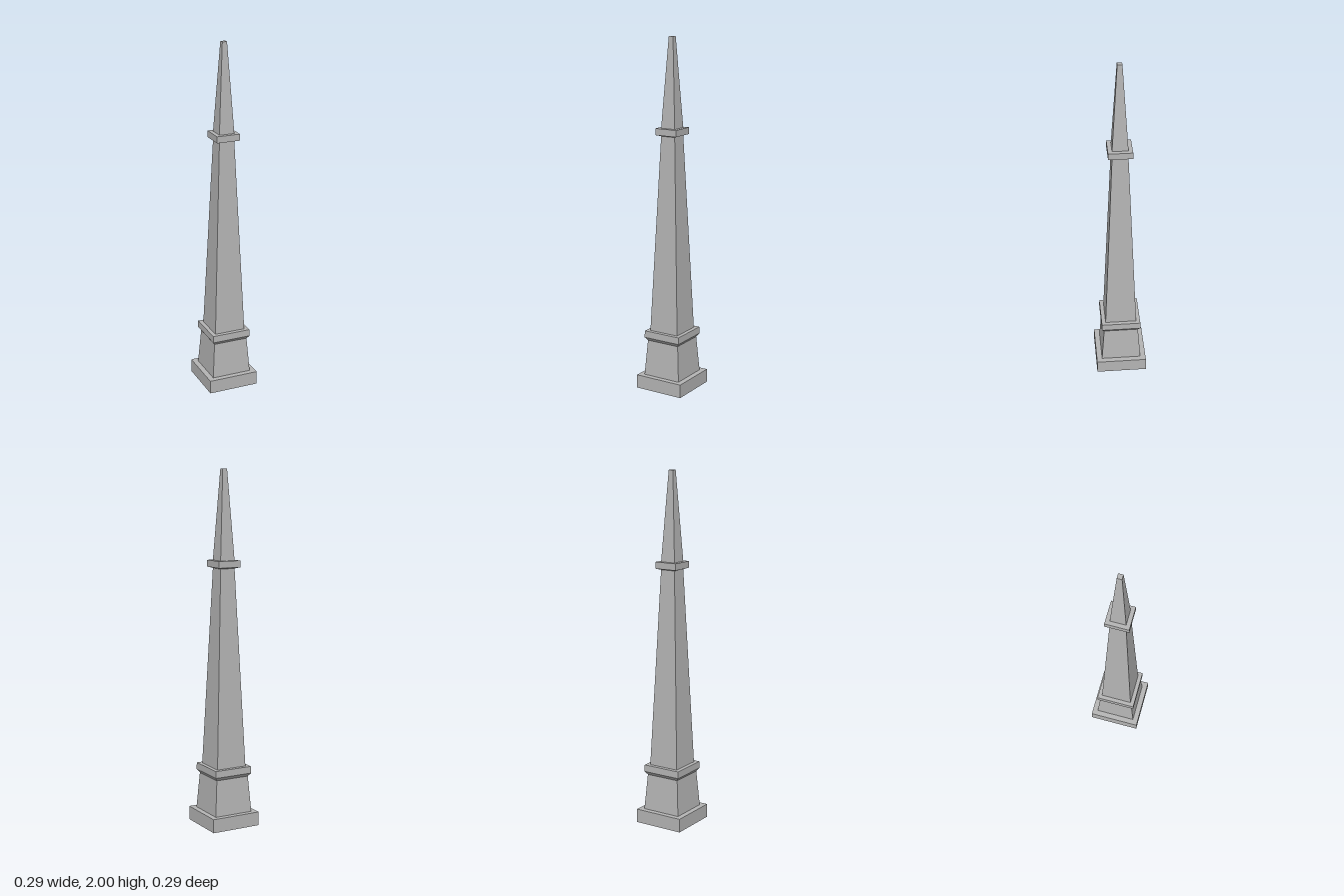
import * as THREE from 'three';

// Square-section shell from [halfWidth, y] points, listed bottom to top
function squareShell(name, profile, material) {
  const points = profile.map(([half, y]) => new THREE.Vector2(half * Math.SQRT2, y));
  const lathe = new THREE.LatheGeometry(points, 4, Math.PI / 4);
  const geometry = lathe.toNonIndexed();
  geometry.computeVertexNormals();
  const mesh = new THREE.Mesh(geometry, material);
  mesh.name = name;
  return mesh;
}

export function createModel() {
  const stone = new THREE.MeshStandardMaterial({ color: 0xb4b4b4, side: THREE.DoubleSide });
  stone.name = 'grey stone';

  const parts = {
    // hollow plinth, open underneath, with a ledge on top
    plinth: [[0.146, 0], [0.146, 0.078], [0.115, 0.078]],
    pedestal: [[0.115, 0.078], [0.1, 0.283]],
    // moulding with a chamfered underside
    lowerBand: [[0.1, 0.283], [0.114, 0.302], [0.113, 0.341], [0.09, 0.341]],
    shaft: [[0.09, 0.341], [0.044, 1.458]],
    upperBand: [[0.044, 1.458], [0.067, 1.465], [0.067, 1.502], [0.044, 1.502]],
    // tapering spire closed by a small flat tip
    spire: [[0.044, 1.502], [0.0135, 2], [0, 2]],
  };

  const obelisk = new THREE.Group();
  obelisk.name = 'obelisk';
  for (const [name, profile] of Object.entries(parts)) {
    obelisk.add(squareShell(name, profile, stone));
  }
  return obelisk;
}
